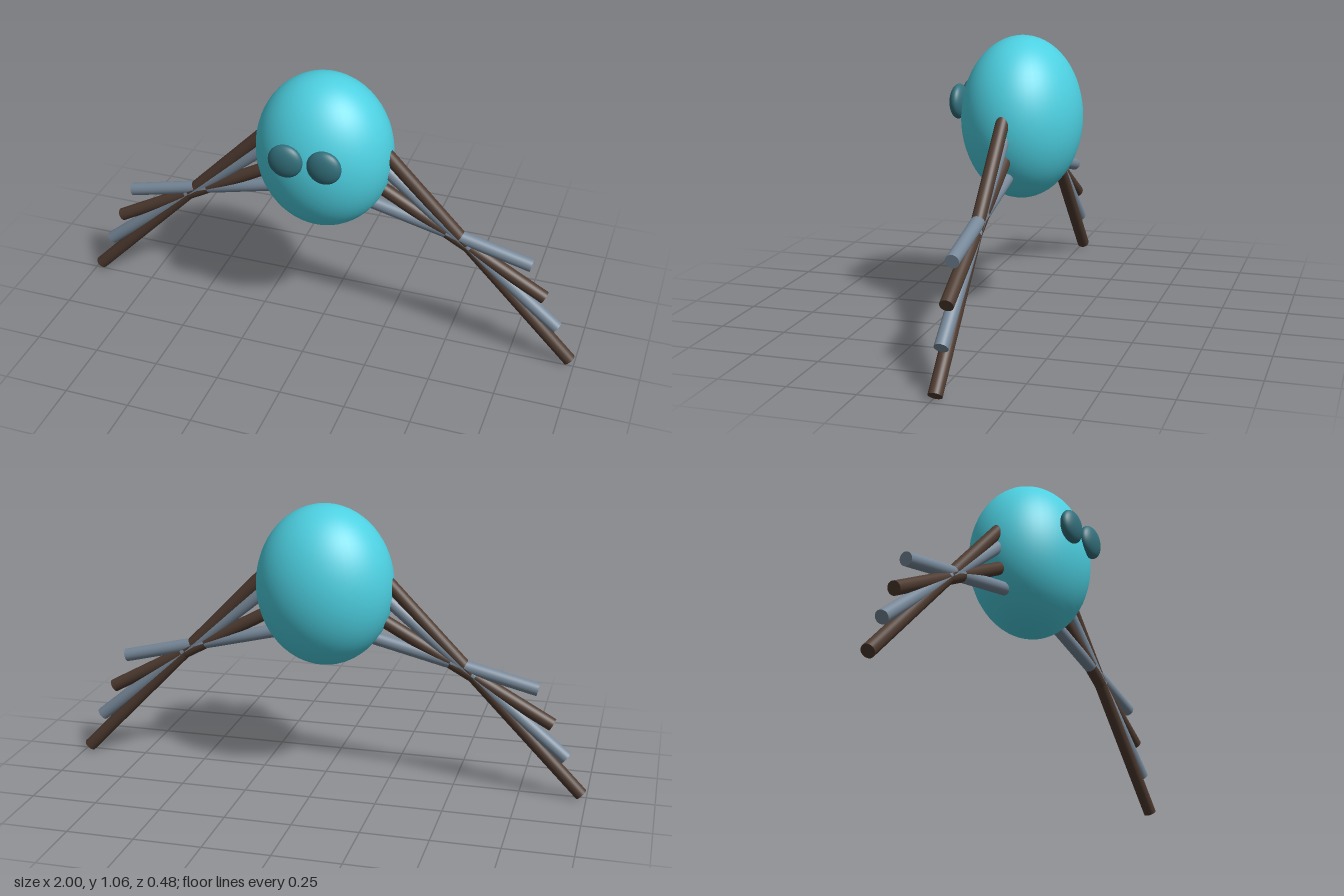
import * as THREE from 'three';

const material = (color) => new THREE.MeshStandardMaterial({ color });

export function createModel() {
  const model = new THREE.Group();
  const teal = material(0x4dd0e1);
  const darkTeal = material(0x33707c);
  const brown = material(0x4e3b30);
  const slate = material(0x778899);
  const z = -0.013;

  // Ellipsoid helper
  const ellipsoid = (name, mat, position, radii) => {
    const mesh = new THREE.Mesh(new THREE.SphereGeometry(1, 48, 32), mat);
    mesh.name = name;
    mesh.position.set(...position);
    mesh.scale.set(...radii);
    model.add(mesh);
  };

  // Straight round leg between two points
  const leg = (name, mat, from, to) => {
    const dir = to.clone().sub(from);
    const mesh = new THREE.Mesh(new THREE.CylinderGeometry(0.025, 0.025, dir.length(), 32), mat);
    mesh.name = name;
    mesh.position.copy(from).add(to).multiplyScalar(0.5);
    mesh.quaternion.setFromUnitVectors(new THREE.Vector3(0, 1, 0), dir.normalize());
    model.add(mesh);
  };

  // Egg-shaped body
  ellipsoid('body', teal, [0, 0.76, -0.015], [0.26, 0.305, 0.225]);

  // Outer end and slope of each leg; all cross near the knee
  const legs = [
    [0.981, 0.02, -1.03, brown],
    [0.919, 0.16, -0.82, slate],
    [0.863, 0.285, -0.55, brown],
    [0.805, 0.417, -0.244, slate],
  ];

  for (const side of [1, -1]) {
    const label = side > 0 ? 'left' : 'right';
    ellipsoid(`${label}Eye`, darkTeal, [side * 0.073, 0.82, 0.209], [0.065, 0.065, 0.031]);
    legs.forEach(([x, y, slope, mat], i) => {
      const innerX = 0.17; // root hidden inside the body
      leg(`${label}Leg${i + 1}`, mat,
        new THREE.Vector3(side * innerX, y + slope * (innerX - x), z),
        new THREE.Vector3(side * x, y, z));
    });
  }
  return model;
}
